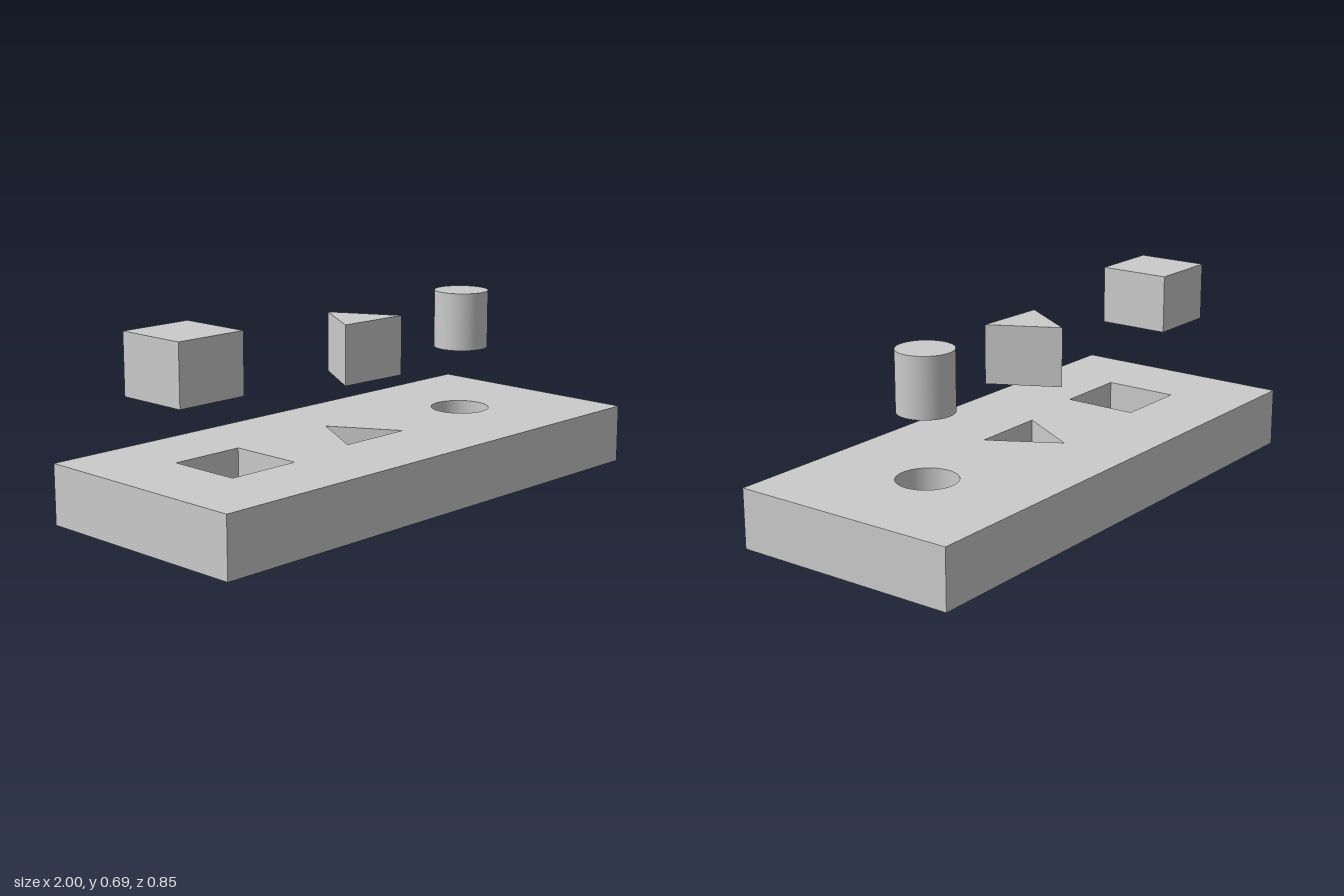
import * as THREE from 'three';

const H = 0.214; // shared thickness of board and pegs

// Outline points are [x, z] as seen from above
const polygon = (pts, Type = THREE.Shape) =>
  new Type(pts.map(([x, z]) => new THREE.Vector2(x, -z)));

const rect = (x0, x1, z0, z1) => [[x0, z1], [x1, z1], [x1, z0], [x0, z0]];

// Upright prism standing on y = 0
function prism(shape) {
  const geo = new THREE.ExtrudeGeometry(shape, { depth: H, bevelEnabled: false, curveSegments: 48 });
  return geo.rotateX(-Math.PI / 2);
}

export function createModel() {
  const group = new THREE.Group();
  const material = new THREE.MeshStandardMaterial({ color: 0xcccccc });
  const add = (name, geometry, x, y, z) => {
    const mesh = new THREE.Mesh(geometry, material);
    mesh.name = name;
    mesh.position.set(x, y, z);
    group.add(mesh);
  };

  // Board with square, triangular and round through-holes
  const board = polygon(rect(-1, 1, -0.427, 0.427));
  board.holes.push(
    polygon(rect(-0.714, -0.435, -0.14, 0.138), THREE.Path),
    polygon([[-0.143, 0.1], [0.142, 0.1], [0, -0.147]], THREE.Path),
    new THREE.Path().absarc(0.573, 0, 0.108, 0, Math.PI * 2, true),
  );
  add('board', prism(board), 0, 0, 0);

  // Square peg, hovering beside its hole
  add('squarePeg', new THREE.BoxGeometry(0.27, H, 0.27), -0.79, 0.581, 0);

  // Triangular peg, turned slightly from its hole
  const triangle = polygon([[-0.14, 0.088], [0.132, 0.0995], [0.006, -0.141]]);
  add('trianglePeg', prism(triangle), 0, 0.419, 0);

  // Round peg, above its hole
  add('roundPeg', new THREE.CylinderGeometry(0.1, 0.1, H, 64), 0.573, 0.556, 0);

  return group;
}
